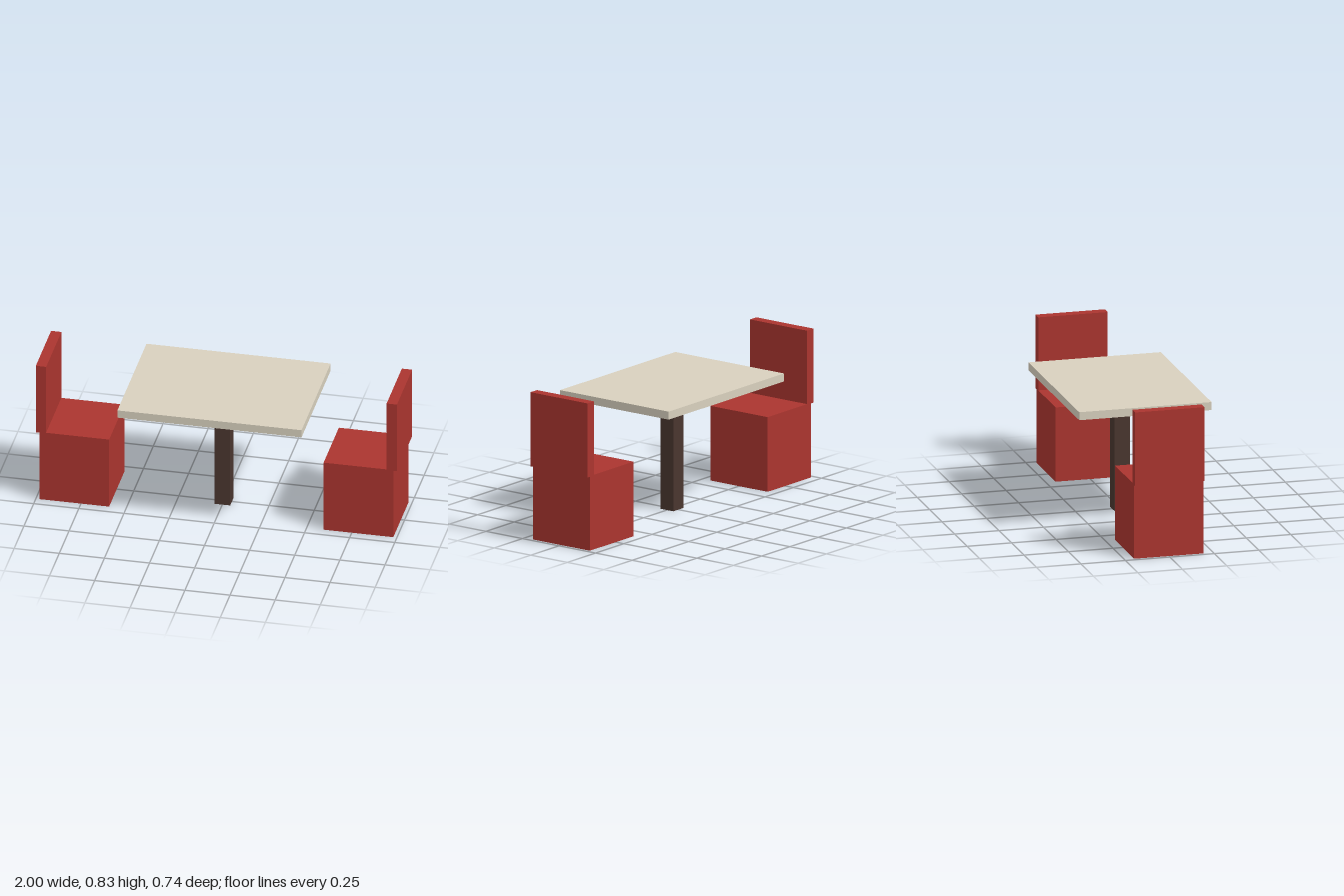
import * as THREE from 'three';

const paint = (color) => new THREE.MeshStandardMaterial({ color });

// Box given by its size, its centre in x and its bottom height
function block(name, [w, h, d], x, bottom, material) {
  const mesh = new THREE.Mesh(new THREE.BoxGeometry(w, h, d), material);
  mesh.name = name;
  mesh.position.set(x, bottom + h / 2, 0);
  return mesh;
}

export function createModel() {
  const model = new THREE.Group();
  model.name = 'diningBooth';
  const red = paint(0xab352f);
  const cream = paint(0xd8d0be);
  const brown = paint(0x4a362f);

  // Table on a square pedestal
  const table = new THREE.Group();
  table.name = 'table';
  table.add(
    block('tableTop', [1.02, 0.045, 0.744], 0, 0.664, cream),
    block('pedestal', [0.088, 0.664, 0.088], 0, 0, brown)
  );
  model.add(table);

  // Two facing chairs; each back overhangs its seat slightly
  for (const side of [1, -1]) {
    const chair = new THREE.Group();
    chair.name = side > 0 ? 'leftChair' : 'rightChair';
    chair.add(
      block('seat', [0.386, 0.418, 0.39], side * 0.787, 0, red),
      block('backrest', [0.057, 0.415, 0.39], side * 0.9715, 0.414, red)
    );
    model.add(chair);
  }
  return model;
}
